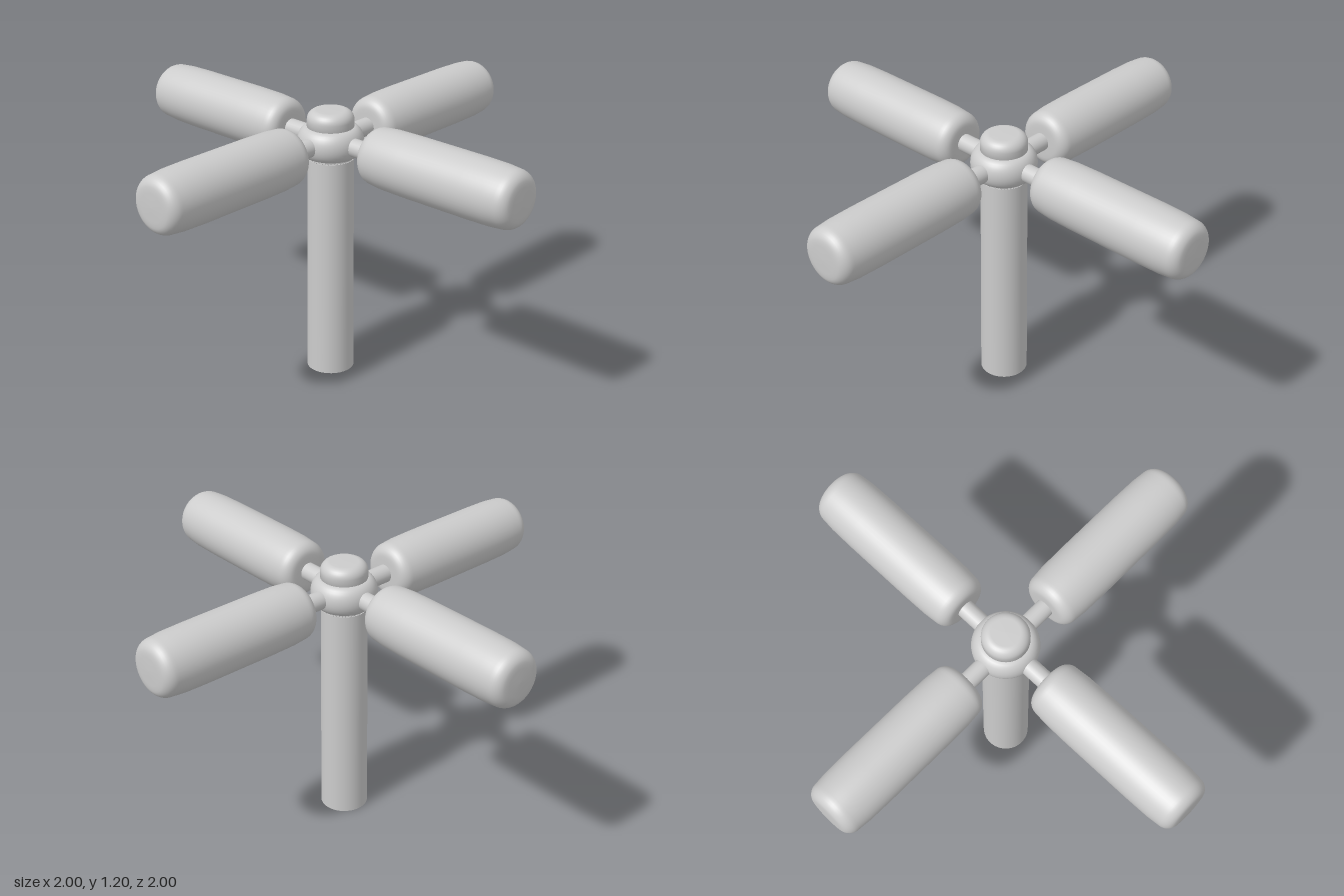
import * as THREE from 'three';

const material = new THREE.MeshStandardMaterial({ color: 0xcccccc });

// Revolves a smooth [radius, height] outline, closed with flat discs at both ends
function turned(name, points, segments = 48) {
  const pts = points.map(([r, h]) => new THREE.Vector2(r, h));
  const mesh = new THREE.Mesh(new THREE.LatheGeometry(pts, segments), material);
  mesh.name = name;
  return mesh;
}

// Quarter-round corner from one outline point to the next, as [radius, height] pairs
function corner(cx, cy, rx, ry, from, to, steps = 8) {
  return Array.from({ length: steps + 1 }, (_, i) => {
    const a = from + ((to - from) * i) / steps;
    return [cx + rx * Math.cos(a), cy + ry * Math.sin(a)];
  });
}

export function createModel() {
  const model = new THREE.Group();
  model.name = 'paddedSpinner';
  const hubY = 1.06;
  const q = Math.PI / 2;

  // Upright post, very slightly wider at the foot
  const post = new THREE.Mesh(new THREE.CylinderGeometry(0.098, 0.103, 1.1, 48), material);
  post.name = 'post';
  post.position.y = 0.55;
  model.add(post);

  // Rounded collar that holds the arms
  model.add(turned('collar', [
    [0, 0.985], [0.1, 0.985],
    ...corner(0.095, hubY, 0.046, 0.066, -q, q, 16),
    [0, 1.126],
  ]));

  // Domed cap on top
  model.add(turned('cap', [
    [0, 1.08], [0.1, 1.08],
    ...corner(0.06, 1.155, 0.04, 0.041, 0, q),
    [0, 1.197],
  ]));

  // Four arms, each a thin rod carrying a padded roller
  const padOutline = [
    [0, 0.23], [0.06, 0.231],
    ...corner(0.075, 0.285, 0.048, 0.053, -q, 0),
    [0.128, 0.34], [0.13, 0.45], [0.13, 0.78], [0.128, 0.89],
    ...corner(0.075, 0.944, 0.048, 0.053, 0, q),
    [0.06, 0.999], [0, 1],
  ];
  for (let i = 0; i < 4; i++) {
    const arm = new THREE.Group();
    arm.name = 'arm' + (i + 1);
    const rod = new THREE.Mesh(new THREE.CylinderGeometry(0.039, 0.039, 0.28, 24), material);
    rod.name = 'rod';
    rod.position.y = 0.18;
    arm.add(rod, turned('pad', padOutline));
    arm.rotation.set(0, i * q, -q, 'YXZ');
    arm.position.y = hubY;
    model.add(arm);
  }
  return model;
}
